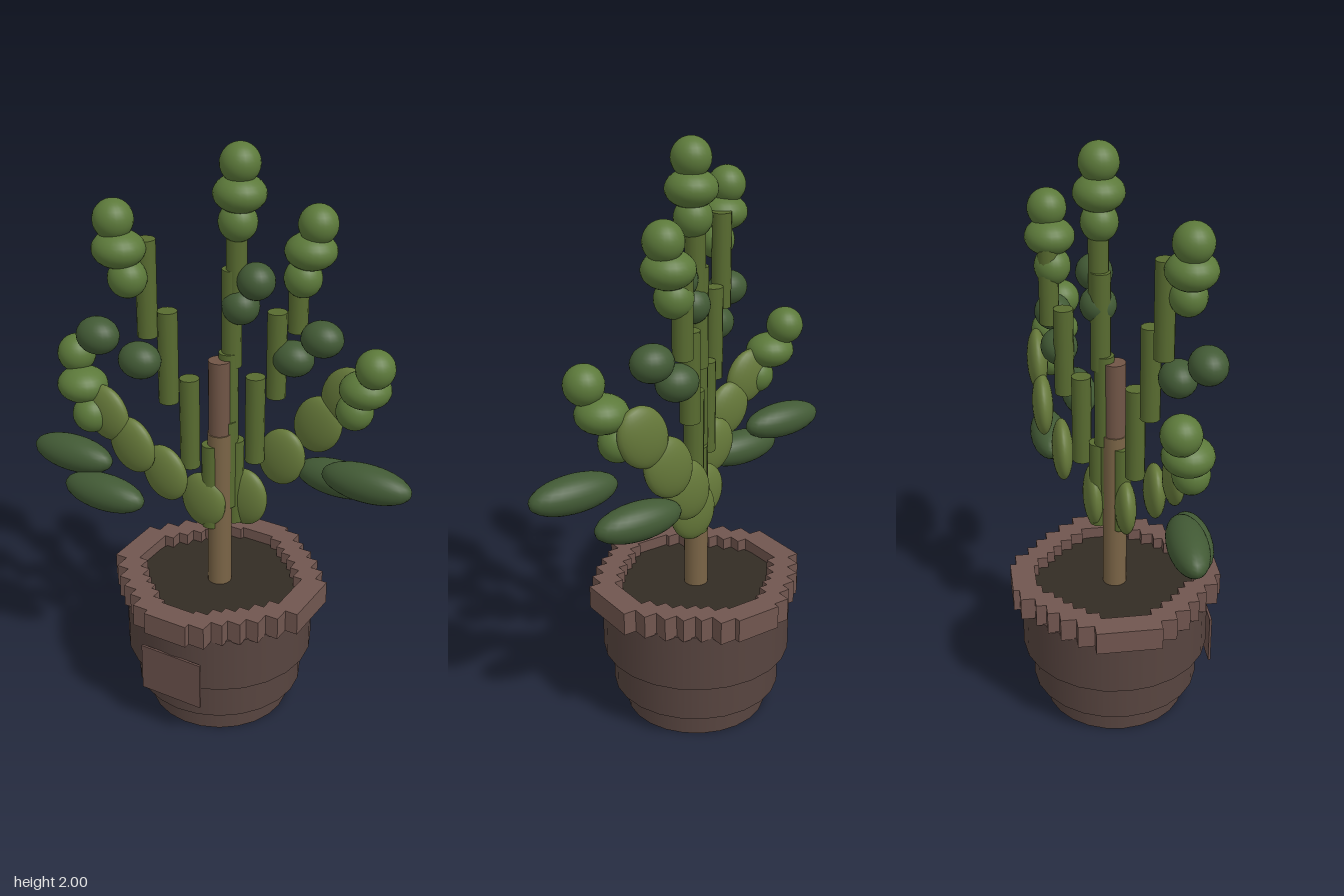
import * as THREE from 'three';

const mat = (color) => new THREE.MeshStandardMaterial({ color });
const M = {
  pot: mat(0x57443f), rim: mat(0x71564f), plate: mat(0x6a504a), soil: mat(0x332c24),
  wood: mat(0x7a6446), bark: mat(0x705546), stalk: mat(0x586b30),
  pad: mat(0x66793a), bud: mat(0x5c793a), leaf: mat(0x425a35),
};
const CX = -0.015; // pot and stem axis

export function createModel() {
  const model = new THREE.Group();
  const add = (name, geo, material, x, y, z, parent = model) => {
    const m = new THREE.Mesh(geo, material);
    m.name = name;
    m.position.set(x, y, z);
    parent.add(m);
    return m;
  };
  const group = (name) => {
    const g = new THREE.Group();
    g.name = name;
    model.add(g);
    return g;
  };
  // Upright cylinder between two heights
  const post = (name, r, y0, y1, x, z, material, sides, parent) =>
    add(name, new THREE.CylinderGeometry(r, r, y1 - y0, sides), material, x, (y0 + y1) / 2, z, parent);
  const ball = new THREE.SphereGeometry(1, 24, 16);
  const blob = (name, material, [x, y, z], [rx, ry, rz], parent, tilt = 0, turn = 0) => {
    const m = add(name, ball, material, x, y, z, parent);
    m.scale.set(rx, ry, rz);
    m.rotation.set(0, turn, tilt);
    return m;
  };

  // Stepped pot
  [[0.245, 0, 0.09], [0.29, 0.09, 0.23], [0.325, 0.23, 0.43]].forEach(([r, y0, y1], i) =>
    post('potTier' + (i + 1), r, y0, y1, CX, 0, M.pot, 24));
  post('soil', 0.285, 0.43, 0.465, CX, 0, M.soil, 24);
  add('frontPlate', new THREE.BoxGeometry(0.23, 0.175, 0.008), M.plate, CX, 0.253, 0.324);

  // Rim with a stair-stepped outline
  const steps = [[0.362, 0.11], [0.318, 0.165], [0.273, 0.217], [0.228, 0.256], [0.18, 0.29], [0.137, 0.338], [0.08, 0.359]];
  const quarter = [];
  steps.forEach(([x, z], i) => {
    quarter.push([x, z]);
    if (i < steps.length - 1) quarter.push([steps[i + 1][0], z]);
  });
  const stairs = (k) => {
    const back = [...quarter].reverse();
    return [
      ...quarter, ...back.map(([x, y]) => [-x, y]),
      ...quarter.map(([x, y]) => [-x, -y]), ...back.map(([x, y]) => [x, -y]),
    ].map(([x, y]) => new THREE.Vector2(x * k, y * k));
  };
  const rimShape = new THREE.Shape(stairs(1));
  rimShape.holes.push(new THREE.Path(stairs(0.77)));
  const rimGeo = new THREE.ExtrudeGeometry(rimShape, { depth: 0.08, bevelEnabled: false });
  rimGeo.rotateX(-Math.PI / 2);
  add('potRim', rimGeo, M.rim, CX, 0.425, 0);

  // Woody stem
  post('lowerStem', 0.041, 0.45, 1.04, CX, 0, M.wood, 16);
  post('upperStem', 0.037, 1.04, 1.3, CX, 0, M.bark, 16);

  // Staggered stalk segments: x, z, bottom, top
  const stalks = group('stalks');
  [
    [-0.035, 0.02, 0.69, 1.0], [-0.095, 0.056, 0.92, 1.24], [-0.15, 0.094, 1.16, 1.475], [-0.205, 0.125, 1.39, 1.71],
    [0.013, -0.05, 0.69, 1.0], [0.063, -0.1, 0.91, 1.22], [0.113, -0.15, 1.14, 1.44], [0.167, -0.19, 1.37, 1.67],
    [0.0, -0.02, 0.76, 1.08], [0.0, -0.032, 1.0, 1.32], [0.006, -0.042, 1.27, 1.6], [0.02, -0.046, 1.48, 1.8],
  ].forEach(([x, z, y0, y1]) => post('stalkSegment', 0.033, y0, y1, x, z, M.stalk, 12, stalks));

  // Flat pads climbing outward on each side: position, tilt
  const pads = group('pads');
  [
    [-0.06, 0.785, 0.03, 0.1], [-0.16, 0.9, 0.11, 0.3], [-0.257, 1.0, 0.155, 0.4], [-0.35, 1.1, 0.165, 0.45],
    [0.045, 0.78, -0.065, -0.1], [0.135, 0.915, -0.16, -0.25], [0.24, 1.04, -0.215, -0.35], [0.335, 1.165, -0.222, -0.4],
  ].forEach(([x, y, z, tilt]) =>
    blob('pad', M.pad, [x, y, z], x < 0 ? [0.083, 0.1, 0.036] : [0.086, 0.107, 0.036], pads, tilt));

  // Bud clusters: lower, middle and top bud of each
  const buds = group('budClusters');
  [
    [[0.026, 1.755, -0.042], [0.032, 1.845, -0.042], [0.033, 1.938, -0.042]],
    [[-0.23, 1.6, 0.19], [-0.257, 1.69, 0.193], [-0.273, 1.78, 0.193]],
    [[0.188, 1.56, -0.175], [0.21, 1.652, -0.18], [0.23, 1.74, -0.185]],
    [[0.39, 1.145, -0.17], [0.432, 1.24, -0.15], [0.474, 1.332, -0.122]],
    [[-0.4, 1.09, 0.18], [-0.444, 1.18, 0.16], [-0.484, 1.272, 0.13]],
  ].forEach(([low, mid, top]) => {
    blob('lowerBud', M.bud, low, [0.063, 0.063, 0.06], buds);
    blob('middleBud', M.bud, mid, [0.085, 0.06, 0.082], buds);
    blob('topBud', M.bud, top, [0.064, 0.064, 0.064], buds);
  });

  // Small rounded dark leaves
  const leaves = group('leaves');
  [
    [-0.315, 1.41, 0.24], [-0.208, 1.322, 0.17], [0.087, 1.57, -0.052],
    [0.036, 1.48, -0.046], [0.265, 1.37, -0.17], [0.168, 1.285, -0.16],
  ].forEach((p) => blob('roundLeaf', M.leaf, p, Math.abs(p[0]) > 0.1 ? [0.072, 0.06, 0.062] : [0.062, 0.06, 0.06], leaves));

  // Long low leaves reaching sideways
  [
    [-0.503, 0.903, 0.155, 0], [-0.348, 0.815, 0.2, 0], [0.49, 0.96, -0.064, 0], [0.335, 0.873, -0.19, 0],
  ].forEach(([x, y, z, tilt]) => blob('longLeaf', M.leaf, [x, y, z], [0.156, 0.062, 0.064], leaves, tilt));

  return model;
}
